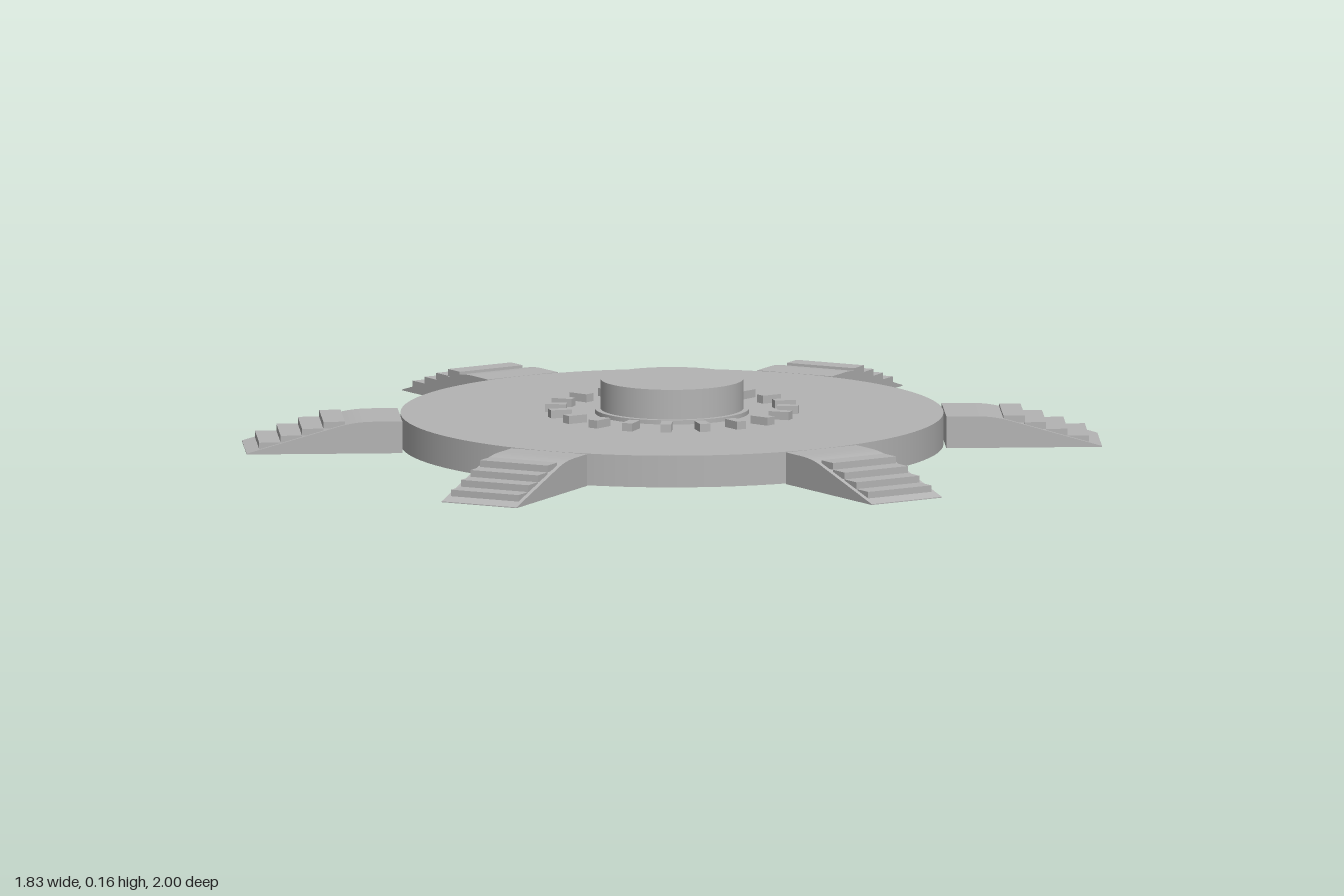
import * as THREE from 'three';

const stone = new THREE.MeshStandardMaterial({ color: 0xb4b4b4 });
stone.name = 'stone grey';

function part(name, geometry, x = 0, y = 0, z = 0) {
  const mesh = new THREE.Mesh(geometry, stone);
  mesh.name = name;
  mesh.position.set(x, y, z);
  return mesh;
}

// Upright disc standing from y0 to y1
function disc(name, radius, y0, y1) {
  return part(name, new THREE.CylinderGeometry(radius, radius, y1 - y0, 96), 0, (y0 + y1) / 2, 0);
}

// One ramp reaching out along +x, with four slab steps on its slope
function ramp(geometry) {
  const group = new THREE.Group();
  group.name = 'ramp';
  group.add(part('rampBody', geometry));
  const slab = new THREE.BoxGeometry(0.05, 0.016, 0.176);
  for (let i = 0; i < 4; i++) {
    group.add(part('step', slab, 0.795 + i * 0.05, 0.066 - i * 0.016, 0));
  }
  return group;
}

export function createModel() {
  const model = new THREE.Group();
  model.name = 'roundPlatform';

  // Platform and central pedestal
  model.add(disc('platform', 0.634, 0, 0.075));
  model.add(disc('pedestalBase', 0.18, 0.07, 0.085));
  model.add(disc('pedestal', 0.167, 0.08, 0.155));

  // Ring of small blocks around the pedestal
  const block = new THREE.BoxGeometry(0.05, 0.023, 0.026);
  for (let i = 0; i < 20; i++) {
    const a = (i / 20) * Math.PI * 2;
    const mesh = part('ringBlock', block, Math.cos(a) * 0.271, 0.0825, -Math.sin(a) * 0.271);
    mesh.rotation.y = a;
    model.add(mesh);
  }

  // Ramp side profile: flat landing, rounded shoulder, straight slope
  const profile = new THREE.Shape();
  profile.moveTo(0.636, 0);
  profile.lineTo(1, 0);
  profile.lineTo(1, 0.002);
  profile.lineTo(0.78, 0.065);
  profile.quadraticCurveTo(0.745, 0.075, 0.7, 0.075);
  profile.lineTo(0.636, 0.075);
  profile.closePath();
  const body = new THREE.ExtrudeGeometry(profile, { depth: 0.196, bevelEnabled: false, curveSegments: 6 });
  body.translate(0, 0, -0.098);

  // Six ramps, two of them on the z axis
  for (let i = 0; i < 6; i++) {
    const arm = ramp(body);
    arm.rotation.y = Math.PI / 6 + (i * Math.PI) / 3;
    model.add(arm);
  }
  return model;
}
